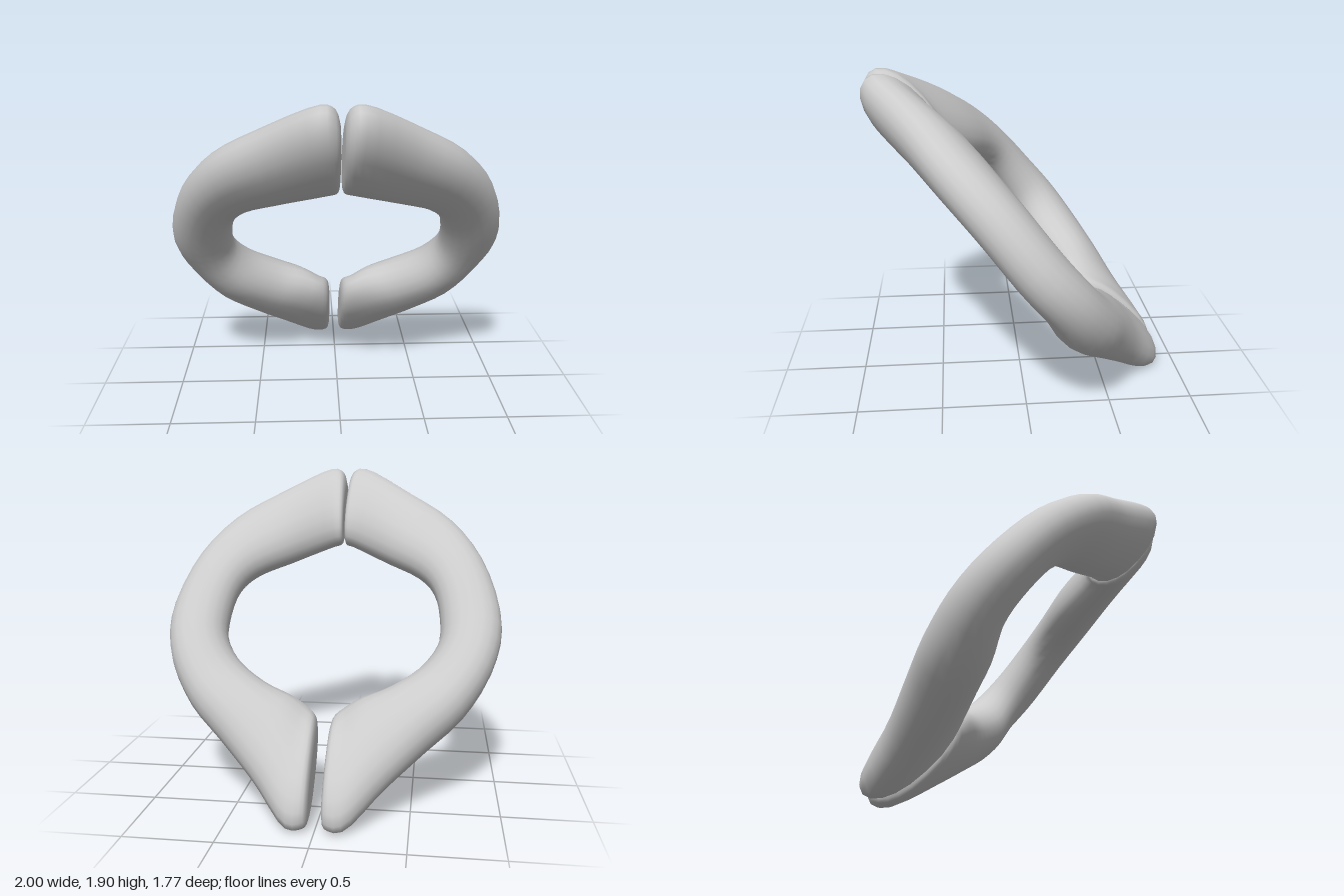
import * as THREE from 'three';

const SIDES = 20, RINGS = 42;

// Cross-sections from the top front end round to the bottom back end, in a plane leaning 45 degrees:
// inner x, inner u, outer x, outer u, height v, half thickness, tilt
// (u runs up the plane, v is normal to it)
const SECTIONS = [
  [0.005, 0.72, 0.01, 1.15, 0.02, 0.10, 0],
  [0.015, 0.67, 0.04, 1.23, 0.025, 0.145, -0.02],
  [0.08, 0.64, 0.14, 1.25, 0.025, 0.155, -0.02],
  [0.30, 0.47, 0.42, 1.00, 0.075, 0.16, -0.01],
  [0.50, 0.33, 0.70, 0.75, 0.10, 0.15, 0],
  [0.60, 0.20, 0.90, 0.42, 0.10, 0.145, 0],
  [0.64, 0.02, 1.00, 0.03, 0.07, 0.148, 0],
  [0.63, -0.14, 0.95, -0.29, 0.04, 0.155, -0.01],
  [0.53, -0.28, 0.79, -0.57, -0.01, 0.175, -0.015],
  [0.36, -0.41, 0.58, -0.78, -0.03, 0.175, 0],
  [0.20, -0.48, 0.36, -1.01, -0.045, 0.16, 0.01],
  [0.11, -0.53, 0.17, -1.245, -0.055, 0.145, 0],
  [0.05, -0.60, 0.06, -1.25, -0.055, 0.135, 0],
  [0.035, -0.72, 0.035, -1.18, -0.06, 0.08, 0],
];

// Smooth interpolation of one section value along the arm
function sample(k, t) {
  const n = SECTIONS.length - 1;
  const p = t * n, i = Math.min(Math.floor(p), n - 1), f = p - i;
  const at = (j) => SECTIONS[Math.max(0, Math.min(n, j))][k];
  const a = at(i - 1), b = at(i), c = at(i + 1), d = at(i + 2);
  return b + 0.5 * f * (c - a + f * (2 * a - 5 * b + 4 * c - d + f * (3 * (b - c) + d - a)));
}

// Lofted half ring; side is +1 for the left half, -1 for the mirrored half
function halfRing(side) {
  const pos = [], index = [];
  const add = (x, u, v) => pos.push(side * x, 0.96 + (u + v) * Math.SQRT1_2, (u - v) * Math.SQRT1_2);
  const tri = (a, b, c) => (side > 0 ? index.push(a, b, c) : index.push(a, c, b));

  for (let i = 0; i <= RINGS; i++) {
    const [xi, ui, xo, uo, v, thick, tilt] = SECTIONS[0].map((_, k) => sample(k, i / RINGS));
    for (let j = 0; j < SIDES; j++) {
      // Slightly blunted oval
      const a = (j / SIDES) * Math.PI * 2, cos = Math.cos(a);
      const c = Math.sign(cos) * Math.abs(cos) ** 0.88;
      add((xi + xo) / 2 + c * (xo - xi) / 2, (ui + uo) / 2 + c * (uo - ui) / 2, v + thick * Math.sin(a) - tilt * c);
    }
  }
  for (let i = 0; i < RINGS; i++) {
    for (let j = 0; j < SIDES; j++) {
      const k = (j + 1) % SIDES;
      const a = i * SIDES + j, b = i * SIDES + k;
      tri(a, a + SIDES, b);
      tri(b, a + SIDES, b + SIDES);
    }
  }
  // Blunt end caps
  const top = pos.length / 3;
  add(0.002, 0.93, 0.02);
  add(0.033, -0.95, -0.06);
  for (let j = 0; j < SIDES; j++) {
    const k = (j + 1) % SIDES, last = RINGS * SIDES;
    tri(top, j, k);
    tri(top + 1, last + k, last + j);
  }

  const geo = new THREE.BufferGeometry();
  geo.setAttribute('position', new THREE.Float32BufferAttribute(pos, 3));
  geo.setIndex(index);
  geo.computeVertexNormals();
  return geo;
}

export function createModel() {
  const group = new THREE.Group();
  const material = new THREE.MeshStandardMaterial({ color: 0xcccccc });
  for (const [name, side] of [['leftHalfRing', 1], ['rightHalfRing', -1]]) {
    const mesh = new THREE.Mesh(halfRing(side), material);
    mesh.name = name;
    group.add(mesh);
  }
  return group;
}
